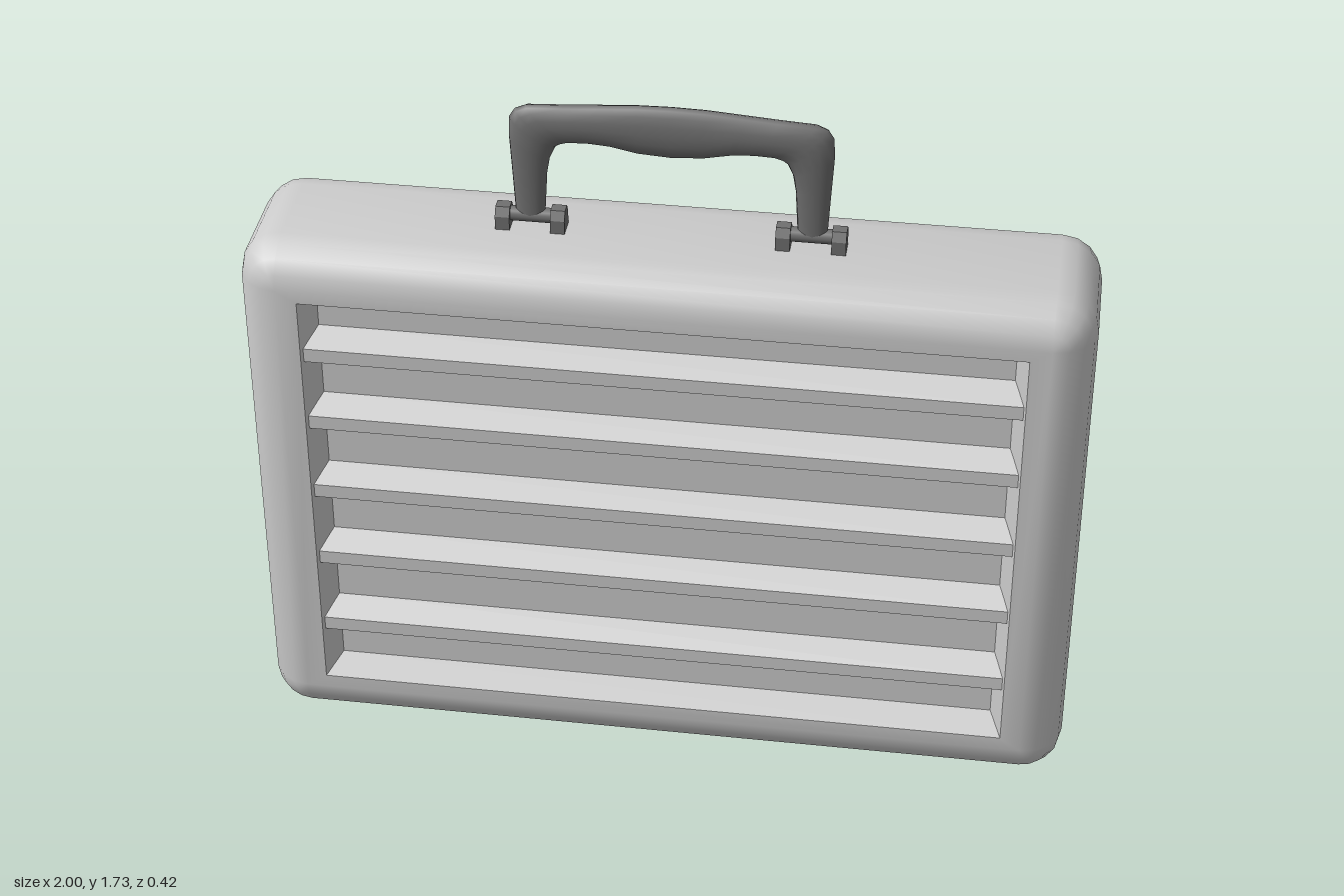
import * as THREE from 'three';
import { toCreasedNormals } from 'three/addons/utils/BufferGeometryUtils.js';

// Skin a series of equal-length point loops and close both ends.
function loft(rings, crease) {
  const n = rings[0].length, pos = [], idx = [];
  rings.forEach(r => r.forEach(p => pos.push(...p)));
  for (let i = 0; i < rings.length - 1; i++) {
    for (let j = 0; j < n; j++) {
      const a = i * n + j, b = i * n + (j + 1) % n, c = b + n, d = a + n;
      idx.push(a, d, c, a, c, b);
    }
  }
  const last = (rings.length - 1) * n;
  for (let j = 1; j < n - 1; j++) {
    idx.push(0, j, j + 1);
    idx.push(last, last + j + 1, last + j);
  }
  const g = new THREE.BufferGeometry();
  g.setAttribute('position', new THREE.Float32BufferAttribute(pos, 3));
  g.setIndex(idx);
  return toCreasedNormals(g, crease);
}

// Rounded rectangle loop at depth z, counter-clockwise from the front.
function rectRing(x, y0, y1, r, z, seg) {
  const ring = [];
  for (let q = 0; q < 4; q++) {
    const sx = q === 0 || q === 3 ? 1 : -1;
    const cx = sx * (x - r), cy = q < 2 ? y1 - r : y0 + r;
    for (let k = 0; k <= seg; k++) {
      const a = (q + k / seg) * Math.PI / 2;
      ring.push([cx + r * Math.cos(a), cy + r * Math.sin(a), z]);
    }
  }
  return ring;
}

export function createModel() {
  const model = new THREE.Group();
  const grey = new THREE.MeshStandardMaterial({ color: 0xcccccc });
  const dark = new THREE.MeshStandardMaterial({ color: 0x707070 });
  const add = (parent, name, geometry, material) => {
    const mesh = new THREE.Mesh(geometry, material);
    mesh.name = name;
    parent.add(mesh);
    return mesh;
  };

  // Case: rounded shell with a tapered recess in the front and back
  const H = 1.39, D = 0.21, R = 0.1, SEG = 4, PANEL = 0.137;
  const half = [
    rectRing(0.82, 0.16, 1.235, 0, PANEL, SEG),
    rectRing(0.85, 0.135, 1.26, 0, D, SEG),
  ];
  for (let k = 0; k <= SEG; k++) {
    const a = k / SEG * Math.PI / 2, inset = R * (1 - Math.sin(a));
    half.push(rectRing(1 - inset, inset, H - inset, R - inset, D - R + R * Math.cos(a), SEG));
  }
  const back = half.map(r => r.map(([x, y, z]) => [x, y, -z])).reverse();
  add(model, 'caseBody', loft([...half, ...back], 0.7), grey);

  // Slats: five tapered bars in each recess
  for (const side of ['front', 'back']) {
    const slats = new THREE.Group();
    slats.name = side + 'Slats';
    if (side === 'back') slats.rotation.y = Math.PI;
    for (const y of [1.109, 0.916, 0.712, 0.508, 0.299]) {
      const bar = (x, h, z) => [[x, y + h, z], [-x, y + h, z], [-x, y - h, z], [x, y - h, z]];
      add(slats, 'slat', loft([bar(0.845, 0.018, 0.2), bar(0.82, 0.049, PANEL - 0.002)], 0.2), grey);
    }
    model.add(slats);
  }

  // Handle: elliptical sections between outer and inner outline [ox, oy, ix, iy, depth]
  const stations = [
    [0.364, 1.425, 0.295, 1.425, 0.017],
    [0.370, 1.54, 0.288, 1.54, 0.022],
    [0.375, 1.63, 0.281, 1.580, 0.026],
    [0.373, 1.682, 0.268, 1.609, 0.028],
    [0.360, 1.703, 0.255, 1.618, 0.028],
    [0.335, 1.714, 0.235, 1.624, 0.028],
    [0.250, 1.719, 0.190, 1.626, 0.028],
    [0.170, 1.725, 0.140, 1.622, 0.028],
    [0.080, 1.732, 0.075, 1.608, 0.028],
    [0, 1.734, 0, 1.603, 0.028],
  ];
  const mirrored = stations.slice(0, -1).reverse().map(([ox, oy, ix, iy, d]) => [-ox, oy, -ix, iy, d]);
  const SIDES = 16;
  const rings = [...stations, ...mirrored].map(([ox, oy, ix, iy, d]) =>
    Array.from({ length: SIDES }, (_, k) => {
      const a = k / SIDES * Math.PI * 2, c = Math.cos(a) / 2;
      return [(ox + ix) / 2 + (ox - ix) * c, (oy + iy) / 2 + (oy - iy) * c, d * Math.sin(a)];
    }));
  add(model, 'handle', loft(rings, 1), dark);

  // Hinges: two chamfered lugs and a pin under each handle leg
  const lugShape = new THREE.Shape([
    [-0.027, 0], [0.027, 0], [0.027, 0.035], [0.014, 0.056], [-0.014, 0.056], [-0.027, 0.035],
  ].map(p => new THREE.Vector2(...p)));
  const lugGeo = new THREE.ExtrudeGeometry(lugShape, { depth: 0.034, bevelEnabled: false });
  lugGeo.translate(0, 0, -0.017).rotateY(Math.PI / 2);
  const pinGeo = new THREE.CylinderGeometry(0.018, 0.018, 0.13, 16).rotateZ(Math.PI / 2);
  for (const s of [1, -1]) {
    const hinge = new THREE.Group();
    hinge.name = s > 0 ? 'leftHinge' : 'rightHinge';
    hinge.position.set(s * 0.328, H - 0.001, 0);
    for (const t of [1, -1]) add(hinge, 'lug', lugGeo, dark).position.x = t * 0.065;
    add(hinge, 'pin', pinGeo, dark).position.y = 0.033;
    model.add(hinge);
  }
  return model;
}
